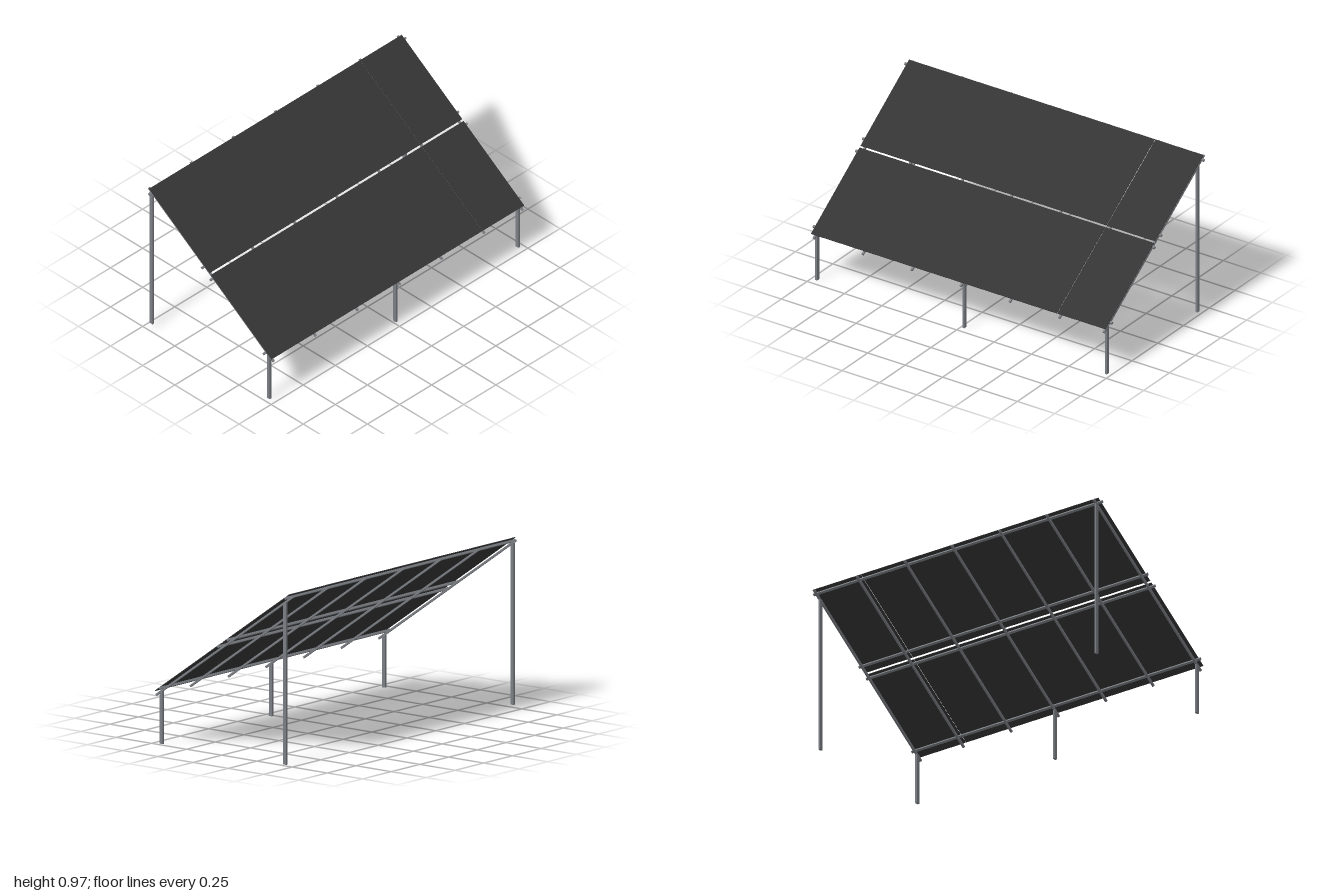
import * as THREE from 'three';

export function createModel() {
  const model = new THREE.Group();
  model.name = 'solarRack';
  const steel = new THREE.MeshStandardMaterial({ color: 0x7a7d82 });
  steel.name = 'steel grey';
  const dark = new THREE.MeshStandardMaterial({ color: 0x343434 });
  dark.name = 'panel charcoal';

  function box(parent, name, material, size, position) {
    const mesh = new THREE.Mesh(new THREE.BoxGeometry(...size), material);
    mesh.name = name;
    mesh.position.set(...position);
    parent.add(mesh);
    return mesh;
  }

  // Tilted roof frame: local x runs down the slope, local y is normal to it
  const pitch = THREE.MathUtils.degToRad(35);
  const ridge = 0.6115;
  const roof = new THREE.Group();
  roof.name = 'tiltedRoof';
  roof.position.y = ridge;
  roof.rotation.z = -pitch;
  model.add(roof);

  // Rafters running down the slope
  for (const z of [0.965, 0.638, 0.311, -0.018, -0.345, -0.676, -0.973]) {
    box(roof, 'rafter', steel, [1.188, 0.011, 0.012], [0, 0, z]);
  }

  // Purlins running the full length, two under each panel row
  for (const u of [-0.559, -0.057, 0.0245, 0.529]) {
    box(roof, 'purlin', steel, [0.013, 0.013, 2], [u, 0.012, 0]);
  }

  // Two rows of panels, each split by a narrow seam near the back
  for (const [u0, u1] of [[-0.585, -0.0095], [0.003, 0.579]]) {
    for (const [z0, z1, v] of [[-0.985, -0.663, 0.0199], [-0.659, 0.983, 0.0206]]) {
      box(roof, 'panel', dark, [u1 - u0, 0.004, z1 - z0], [(u0 + u1) / 2, v, (z0 + z1) / 2]);
    }
  }

  // Posts: two tall ones at the high side, three short ones at the low side
  const posts = [
    ['tallPost', -0.462, 0.966, 0.025],
    ['tallPost', -0.429, -0.971, 0],
    ['shortPost', 0.45, 0.966, 0],
    ['shortPost', 0.45, -0.018, 0],
    ['shortPost', 0.45, -0.971, 0],
  ];
  for (const [name, x, z, foot] of posts) {
    const top = ridge - x * Math.tan(pitch) - 0.001;
    box(model, name, steel, [0.0215, top - foot, 0.0125], [x, (top + foot) / 2, z]);
  }

  return model;
}
